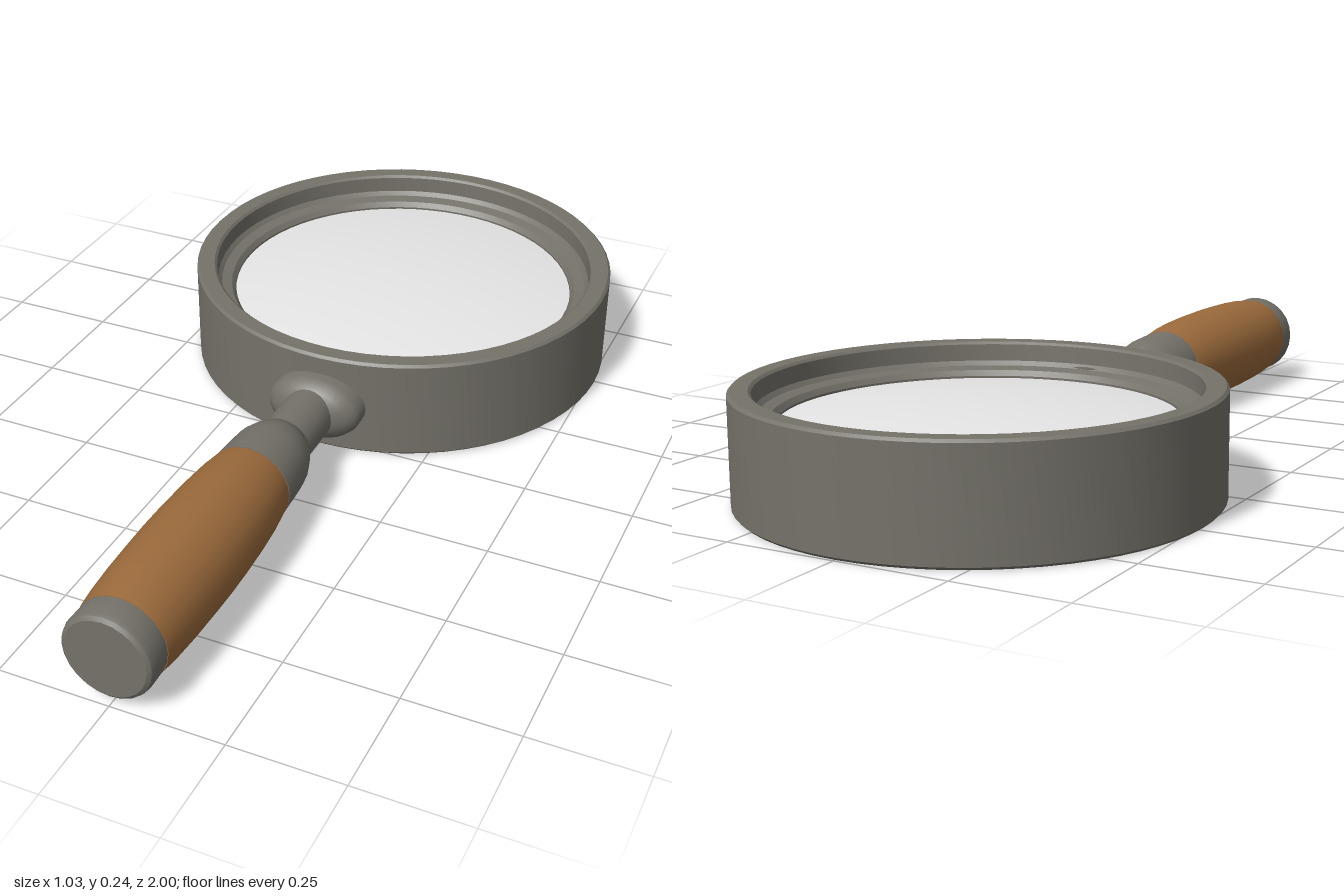
import * as THREE from 'three';
import { toCreasedNormals } from 'three/addons/utils/BufferGeometryUtils.js';

const mat = (name, color) => {
  const m = new THREE.MeshStandardMaterial({ color });
  m.name = name;
  return m;
};

// Revolve [radius, height] points around y, keeping hard edges sharp
const revolve = (points, sides) =>
  toCreasedNormals(new THREE.LatheGeometry(points.map(([r, h]) => new THREE.Vector2(r, h)), sides), 0.6);

export function createModel() {
  const metal = mat('gunmetal', 0x75726a);
  const wood = mat('wood', 0x9c6b3c);
  const glass = mat('glass', 0xe6e6e6);
  const model = new THREE.Group();
  model.name = 'magnifyingGlass';

  const add = (name, geometry, material, parent) => {
    const mesh = new THREE.Mesh(geometry, material);
    mesh.name = name;
    parent.add(mesh);
    return mesh;
  };

  // Head: a deep ring with a stepped inner ledge that holds the lens
  const head = new THREE.Group();
  head.name = 'head';
  head.position.set(0, 0.1215, -0.485);
  model.add(head);

  const upper = [
    [0.509, 0.1215], [0.472, 0.1215], [0.466, 0.116], [0.464, 0.078],
    [0.455, 0.068], [0.446, 0.066], [0.43, 0.062], [0.42, 0.05],
  ];
  const lower = upper.map(([r, h]) => [r, -h]).reverse();
  add('ring', revolve([[0.515, -0.1155], [0.515, 0.1155], ...upper, ...lower, [0.515, -0.1155]], 64), metal, head);

  // Lens: convex on both faces
  const lens = [];
  for (let i = 0; i <= 10; i++) {
    const r = 0.422 * i / 10;
    lens.push([r, -0.045 - 0.03 * (1 - (i / 10) ** 2)]);
  }
  lens.push(...lens.map(([r, h]) => [r, -h]).reverse());
  add('lens', revolve(lens, 64), glass, head);

  // Handle: parts turned around the z axis
  const handle = new THREE.Group();
  handle.name = 'handle';
  handle.position.y = 0.119;
  handle.rotation.x = Math.PI / 2;
  model.add(handle);

  // Oval collar where the handle meets the ring
  const collar = add('collar', revolve([
    [0, -0.03], [0.112, -0.03], [0.114, 0.05], [0.108, 0.065], [0.09, 0.08], [0.06, 0.095], [0, 0.1],
  ], 32), metal, handle);
  collar.scale.z = 0.68;

  add('neck', revolve([[0, 0.05], [0.061, 0.05], [0.061, 0.25], [0, 0.25]], 24), metal, handle);

  add('ferrule', revolve([
    [0, 0.215], [0.06, 0.215], [0.068, 0.222], [0.08, 0.25], [0.088, 0.275],
    [0.092, 0.3], [0.096, 0.388], [0, 0.39],
  ], 24), metal, handle);

  add('grip', revolve([
    [0, 0.39], [0.096, 0.39], [0.104, 0.45], [0.109, 0.52], [0.112, 0.6], [0.113, 0.67],
    [0.112, 0.74], [0.11, 0.82], [0.106, 0.89], [0.101, 0.935], [0, 0.935],
  ], 24), wood, handle);

  add('endCap', revolve([
    [0, 0.935], [0.1, 0.935], [0.101, 0.985], [0.098, 0.994], [0.09, 1], [0, 1],
  ], 24), metal, handle);

  return model;
}
